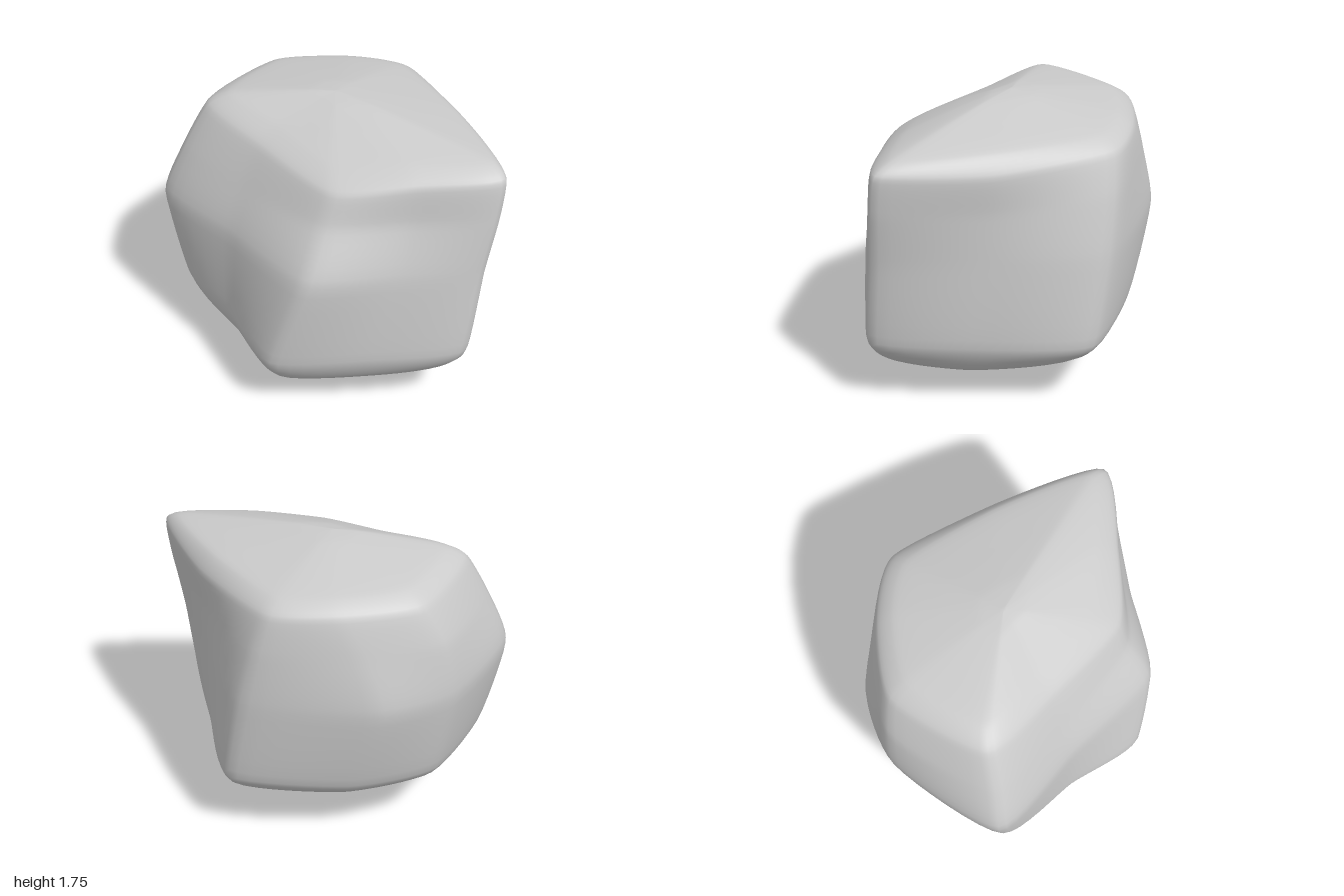
import * as THREE from 'three';
import { mergeVertices } from 'three/addons/utils/BufferGeometryUtils.js';

// Ridges running up the stone, counter-clockwise from above: [x, y, z] points
const RIDGES = {
  left: [[-0.77, 0.32, 0.05], [-0.89, 0.48, 0], [-1, 1, -0.03],
    [-0.88, 1.32, -0.05], [-0.735, 1.59, -0.09], [-0.6, 1.665, -0.1]],
  leftFront: [[-0.5, 0.3, 0.4], [-0.56, 0.46, 0.4], [-0.54, 1, 0.39],
    [-0.46, 1.3, 0.32], [-0.37, 1.53, 0.26], [-0.28, 1.62, 0.18]],
  front: [[-0.22, 0.26, 0.72], [-0.26, 0.43, 0.805], [-0.07, 1, 0.825],
    [0.01, 1.3, 0.675], [0.06, 1.48, 0.61], [0.05, 1.57, 0.47]],
  frontRight: [[0.28, 0.29, 0.69], [0.31, 0.46, 0.755], [0.43, 1, 0.725],
    [0.49, 1.32, 0.63], [0.53, 1.54, 0.6], [0.48, 1.62, 0.49]],
  right: [[0.73, 0.32, 0.58], [0.84, 0.48, 0.63], [0.91, 1, 0.58],
    [0.97, 1.34, 0.55], [0.99, 1.57, 0.52], [0.9, 1.64, 0.44]],
  rightMid: [[0.67, 0.26, 0.08], [0.77, 0.46, 0], [0.77, 1, -0.04],
    [0.77, 1.3, -0.06], [0.785, 1.53, -0.07], [0.69, 1.64, -0.08]],
  backRight: [[0.56, 0.32, -0.48], [0.65, 0.48, -0.61], [0.57, 1, -0.67],
    [0.49, 1.34, -0.68], [0.42, 1.56, -0.66], [0.36, 1.635, -0.57]],
  back: [[0, 0.32, -0.58], [-0.03, 0.48, -0.74], [-0.17, 1, -0.83],
    [-0.08, 1.34, -0.78], [0.03, 1.57, -0.73], [0.04, 1.645, -0.63]],
  backLeft: [[-0.47, 0.32, -0.43], [-0.54, 0.48, -0.59], [-0.62, 1, -0.65],
    [-0.56, 1.34, -0.65], [-0.44, 1.57, -0.63], [-0.36, 1.65, -0.54]],
};

// Rounded ends: [share of the ridge's spread, share of the climb to the tip]
const BOTTOM = { tip: [0.1, 0, 0.25], steps: [[0, 1], [0.14, 0.985], [0.38, 0.81], [0.66, 0.51]] };
const TOP = { tip: [0.03, 1.75, -0.03], steps: [[0.6, 0.5], [0.24, 0.87], [0, 1]] };

function capPoints({ tip, steps }, [x, y, z]) {
  return steps.map(([spread, climb]) => new THREE.Vector3(
    tip[0] + (x - tip[0]) * spread,
    y + (tip[1] - y) * climb,
    tip[2] + (z - tip[2]) * spread));
}

function createStoneGeometry() {
  // One upright curve per ridge, from the lowest point to the summit
  const curves = Object.values(RIDGES).map((ridge) => new THREE.CatmullRomCurve3([
    ...capPoints(BOTTOM, ridge[0]),
    ...ridge.map((p) => new THREE.Vector3(...p)),
    ...capPoints(TOP, ridge[ridge.length - 1]),
  ], false, 'catmullrom', 0.3));

  const rows = 72, columns = 72;
  const positions = [], index = [];
  for (let r = 0; r <= rows; r++) {
    // Closed section through all ridges at this level
    const ring = new THREE.CatmullRomCurve3(
      curves.map((c) => c.getPoint(r / rows)), true, 'catmullrom', 0.3);
    for (let c = 0; c < columns; c++) {
      const p = ring.getPoint(c / columns);
      positions.push(p.x, Math.max(0, p.y), p.z);
      if (r === rows) continue;
      const a = r * columns + c;
      const b = r * columns + (c + 1) % columns;
      // Skip the collapsed triangle at each pole
      if (r > 0) index.push(a, b, b + columns);
      if (r < rows - 1) index.push(a, b + columns, a + columns);
      else index.push(a, b, a + columns);
    }
  }
  const geometry = new THREE.BufferGeometry();
  geometry.setAttribute('position', new THREE.Float32BufferAttribute(positions, 3));
  geometry.setIndex(index);
  const welded = mergeVertices(geometry, 1e-5);
  welded.computeVertexNormals();
  return welded;
}

export function createModel() {
  const group = new THREE.Group();
  group.name = 'rock';
  const stone = new THREE.Mesh(
    createStoneGeometry(), new THREE.MeshStandardMaterial({ color: 0xcccccc }));
  stone.name = 'stone';
  group.add(stone);
  return group;
}
